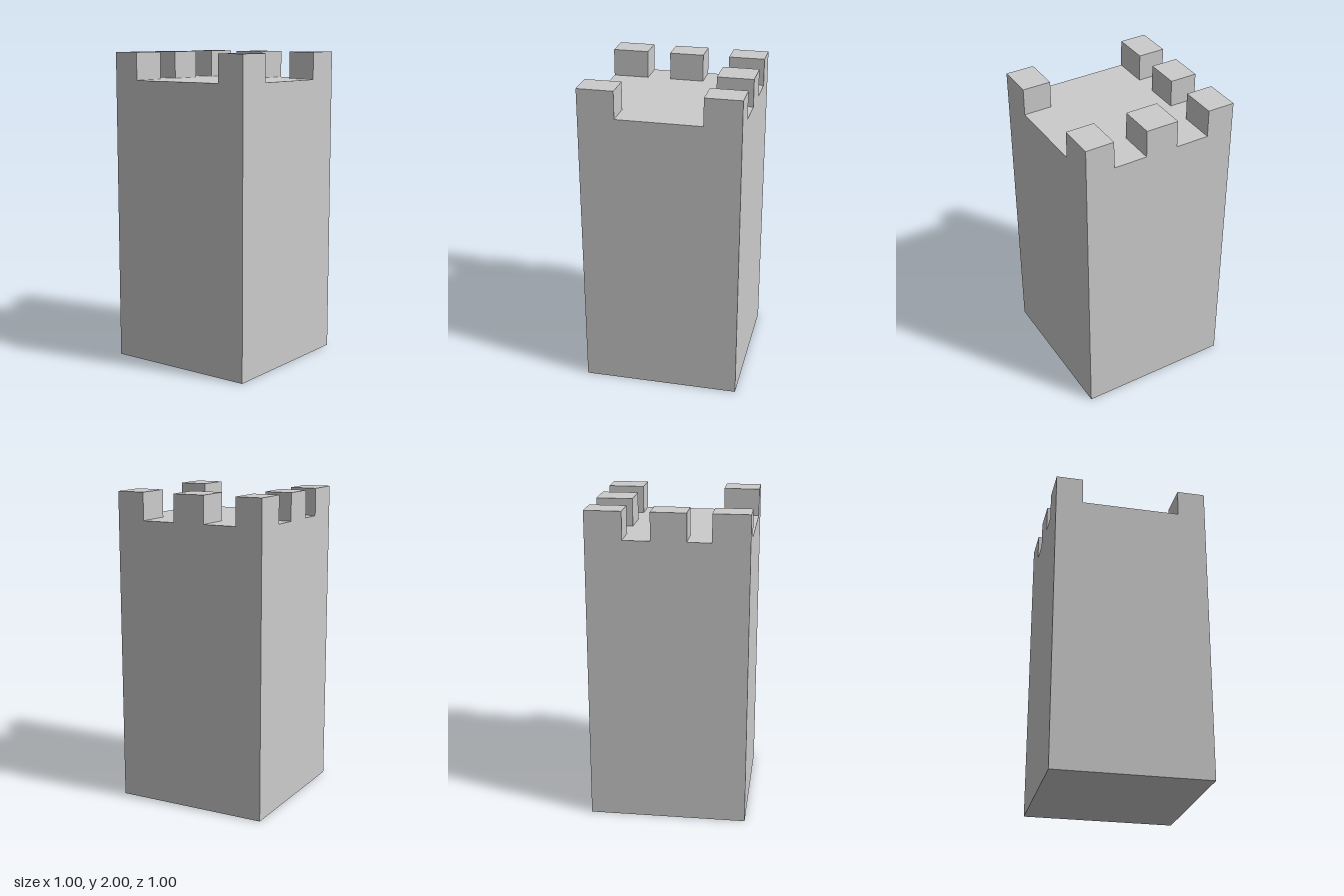
import * as THREE from 'three';

const material = new THREE.MeshStandardMaterial({ color: 0xcccccc, flatShading: true });

// Box given by its [min, max] extents on each axis
function block(name, [x0, x1], [y0, y1], [z0, z1]) {
  const geometry = new THREE.BoxGeometry(x1 - x0, y1 - y0, z1 - z0);
  const mesh = new THREE.Mesh(geometry, material);
  mesh.position.set((x0 + x1) / 2, (y0 + y1) / 2, (z0 + z1) / 2);
  mesh.name = name;
  return mesh;
}

export function createModel() {
  const tower = new THREE.Group();
  tower.name = 'tower';

  const deck = 1.825;
  const xSpan = { right: [-0.5, -0.27], middle: [-0.12, 0.1], left: [0.27, 0.5] };
  const zSpan = { back: [-0.5, -0.325], middle: [-0.11, 0.1], front: [0.317, 0.5] };

  // Square shaft
  tower.add(block('towerShaft', [-0.5, 0.5], [0, deck], [-0.5, 0.5]));

  // Merlons: four corners, plus one mid-back and one mid-left
  const merlons = [
    ['right', 'back'], ['middle', 'back'], ['left', 'back'],
    ['left', 'middle'],
    ['right', 'front'], ['left', 'front'],
  ];
  const battlements = new THREE.Group();
  battlements.name = 'battlements';
  for (const [x, z] of merlons) {
    battlements.add(block(`merlon ${z} ${x}`, xSpan[x], [deck, 2], zSpan[z]));
  }
  tower.add(battlements);

  return tower;
}
